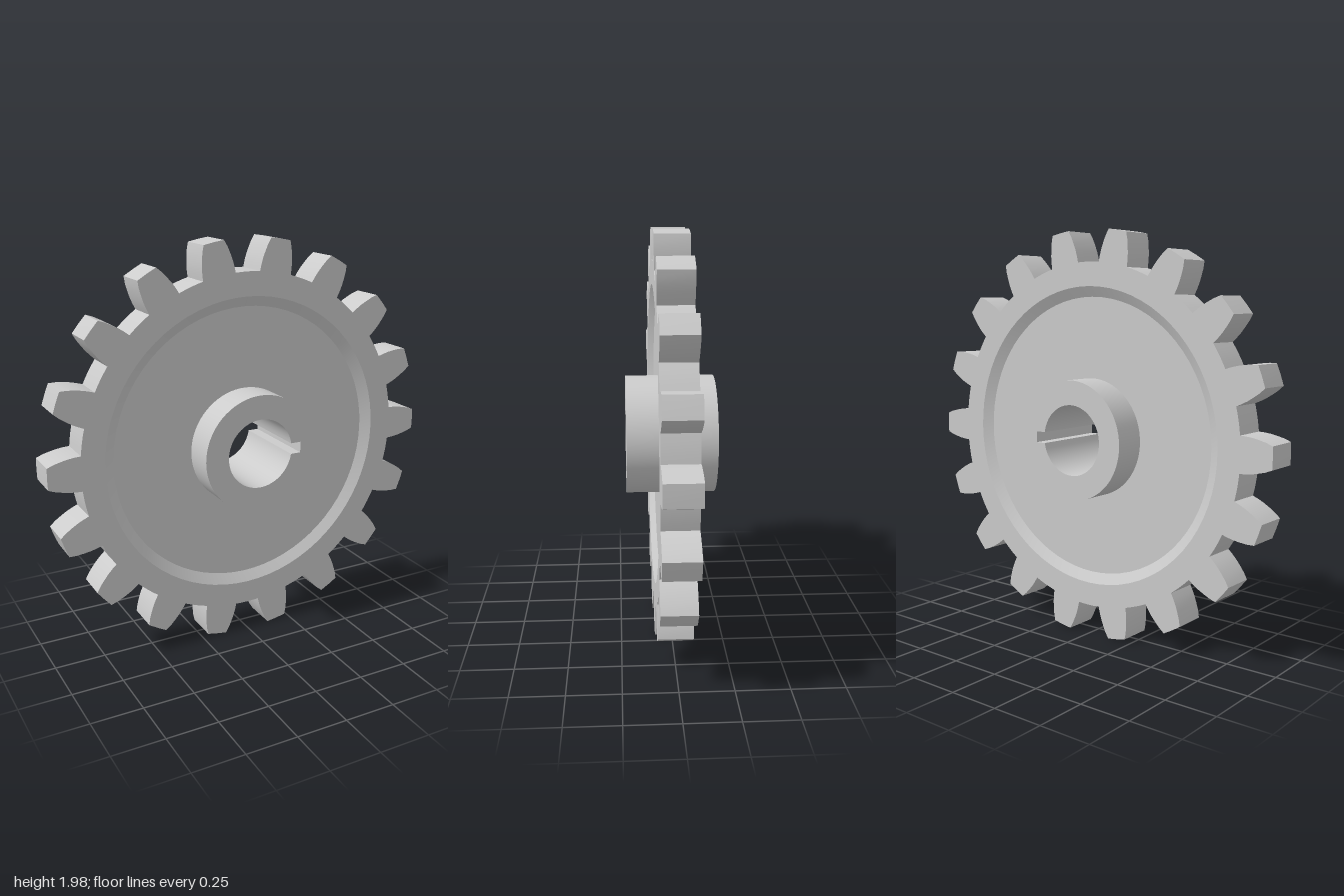
import * as THREE from 'three';
import { toCreasedNormals } from 'three/addons/utils/BufferGeometryUtils.js';

const TEETH = 18;
const CENTRE_Y = 0.993;

export function createModel() {
  const group = new THREE.Group();
  group.name = 'spurGear';
  const gear = new THREE.Group();
  gear.name = 'gearWheel';
  gear.position.y = CENTRE_Y;
  group.add(gear);

  const material = new THREE.MeshStandardMaterial({ color: 0xcccccc });

  const add = (name, geometry) => {
    const mesh = new THREE.Mesh(toCreasedNormals(geometry, 0.45), material);
    mesh.name = name;
    gear.add(mesh);
  };

  // Extrudes a shape symmetrically about z = 0
  const slab = (shape, halfDepth) => {
    const geometry = new THREE.ExtrudeGeometry(shape, {
      depth: halfDepth * 2, bevelEnabled: false, curveSegments: 36,
    });
    return geometry.translate(0, 0, -halfDepth);
  };

  // Toothed rim: one flank as [radius, half angle in degrees], mirrored per tooth
  const flank = [
    [0.845, 5.7], [0.875, 5.4], [0.905, 5.0], [0.935, 4.45], [0.968, 3.8], [1, 2.95],
  ];
  const outline = [];
  const polar = (r, degrees) => {
    const a = THREE.MathUtils.degToRad(degrees);
    outline.push(new THREE.Vector2(r * Math.cos(a), r * Math.sin(a)));
  };
  const pitch = 360 / TEETH;
  for (let i = 0; i < TEETH; i++) {
    const mid = i * pitch;
    flank.forEach(([r, a]) => polar(r, mid - a));
    polar(1, mid);
    [...flank].reverse().forEach(([r, a]) => polar(r, mid + a));
    // Root arc between neighbouring teeth
    [-2, 0, 2].forEach((a) => polar(0.845, mid + pitch / 2 + a));
  }
  const rim = new THREE.Shape(outline);
  rim.holes.push(new THREE.Path().absarc(0, 0, 0.73, 0, Math.PI * 2, true));
  add('toothedRim', slab(rim, 0.083));

  // Recessed web with a sloped step up to the rim on both faces
  const profile = [
    [0.27, -0.053], [0.68, -0.053], [0.73, -0.083],
    [0.73, 0.083], [0.68, 0.053], [0.27, 0.053],
  ].map(([r, h]) => new THREE.Vector2(r, h));
  add('recessedWeb', new THREE.LatheGeometry(profile, 72).rotateX(Math.PI / 2));

  // Hub with a bore and a keyway on the +x side
  const hub = new THREE.Shape().absarc(0, 0, 0.288, 0, Math.PI * 2, false);
  const boreRadius = 0.17;
  const keyHalf = 0.027;
  const keyAngle = Math.asin(keyHalf / boreRadius);
  const bore = new THREE.Path();
  bore.absarc(0, 0, boreRadius, keyAngle, Math.PI * 2 - keyAngle, false);
  bore.lineTo(0.22, -keyHalf);
  bore.lineTo(0.22, keyHalf);
  bore.closePath();
  hub.holes.push(bore);
  add('keyedHub', slab(hub, 0.215));

  return group;
}
